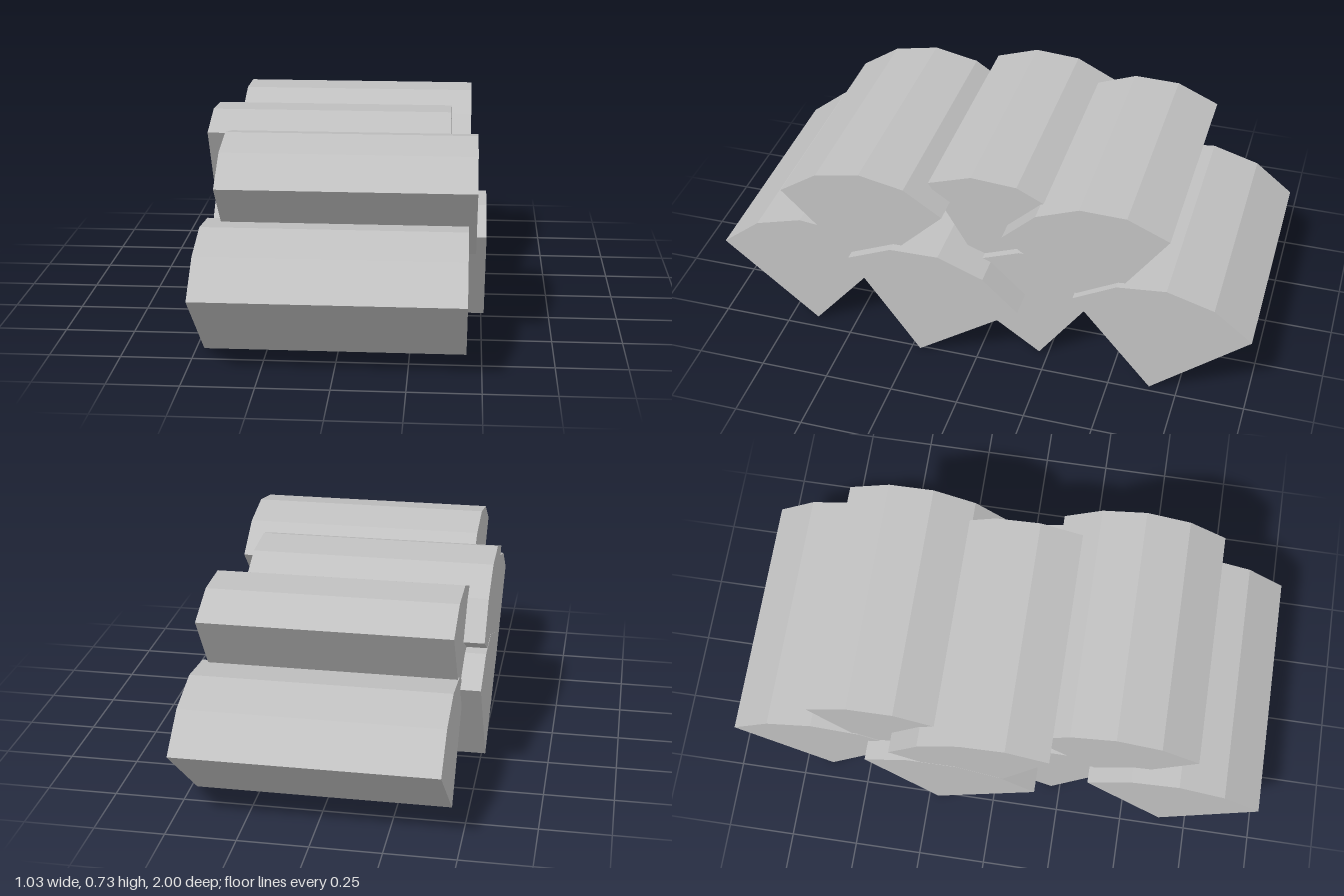
import * as THREE from 'three';

const grey = new THREE.MeshStandardMaterial({ color: 0xc0c0c0 });
grey.name = 'grey';

const STEPS = 4; // flat facets on the curved bark side

// Quarter-split log lying along x. Its inner edge sits at (y, z);
// the bark runs through 90 degrees from startAngle, measured from +z up.
function splitLog({ name, y, z, radius, startAngle, left, right }) {
  const shape = new THREE.Shape();
  shape.moveTo(0, 0);
  for (let i = 0; i <= STEPS; i++) {
    const a = THREE.MathUtils.degToRad(startAngle + (90 * i) / STEPS);
    shape.lineTo(-radius * Math.cos(a), radius * Math.sin(a));
  }
  shape.closePath();
  const geometry = new THREE.ExtrudeGeometry(shape, { depth: right - left, bevelEnabled: false });
  geometry.rotateY(Math.PI / 2); // extrusion becomes x, profile faces along z
  const mesh = new THREE.Mesh(geometry, grey);
  mesh.name = name;
  mesh.position.set(left, y, z);
  return mesh;
}

export function createModel() {
  const group = new THREE.Group();
  group.name = 'firewoodStack';

  // Bottom row, front to back: [z, startAngle, left end]
  const bottom = [
    [0.649, 40, -0.472],
    [0.217, 55, -0.409],
    [-0.215, 35, -0.514],
    [-0.649, 50, -0.441],
  ];
  bottom.forEach(([z, startAngle, left], i) => {
    group.add(splitLog({ name: `bottomLog${i + 1}`, y: 0, z, radius: 0.459, startAngle, left, right: left + 0.92 }));
  });

  // Top row, slightly smaller logs
  const top = [
    [0.434, 45, -0.414],
    [-0.006, 60, -0.513],
    [-0.438, 35, -0.438],
  ];
  top.forEach(([z, startAngle, left], i) => {
    group.add(splitLog({ name: `topLog${i + 1}`, y: 0.3, z, radius: 0.431, startAngle, left, right: left + 0.89 }));
  });

  return group;
}
